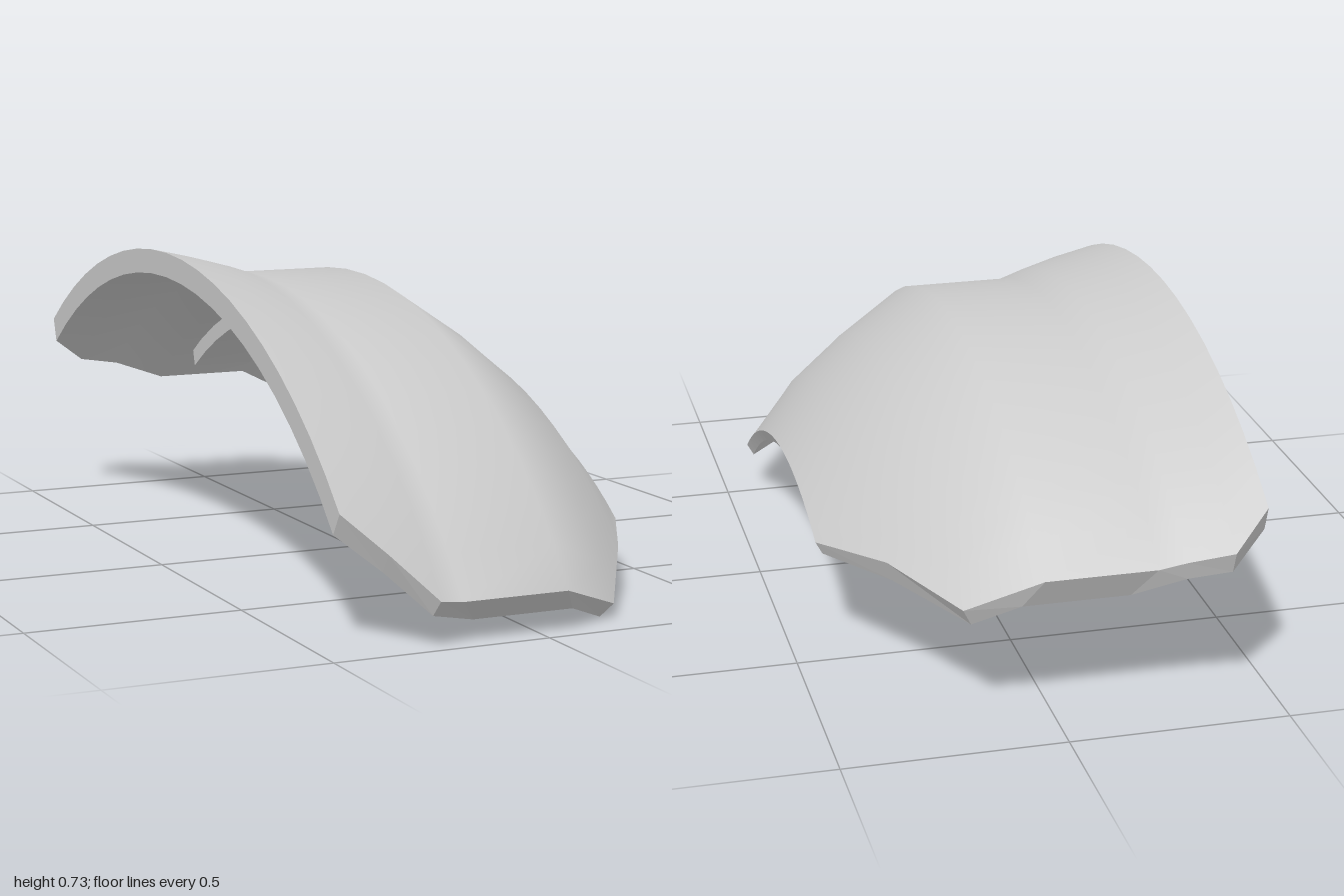
import * as THREE from 'three';
import { mergeGeometries } from 'three/addons/utils/BufferGeometryUtils.js';

// The plate is swept around an axis parallel to x.
const AXIS_Y = -0.7, AXIS_Z = -0.12, STEPS = 20;
const onArc = (x, r, a) => new THREE.Vector3(x, AXIS_Y + r * Math.cos(a), AXIS_Z + r * Math.sin(a));

// Skin over rows of points; flat gives hard facets.
function patch(rows, flat = false) {
  const n = rows[0].length, index = [];
  for (let i = 0; i < rows.length - 1; i++) {
    for (let j = 0; j < n - 1; j++) {
      const a = i * n + j, b = a + n;
      index.push(a, a + 1, b, a + 1, b + 1, b);
    }
  }
  let geometry = new THREE.BufferGeometry().setFromPoints(rows.flat());
  geometry.setIndex(index);
  if (!flat) geometry.computeVertexNormals();
  geometry = geometry.toNonIndexed();
  if (flat) geometry.computeVertexNormals();
  return geometry;
}

// Columns: [outer x, outer radius, inner x, inner radius, front angle, back angle]
function curvedShell(columns) {
  const sweep = (x, r, front, back) => Array.from({ length: STEPS + 1 },
    (_, j) => onArc(x, r, -back + (front + back) * j / STEPS));
  const outer = columns.map(([x, r, , , f, b]) => sweep(x, r, f, b));
  const inner = columns.map(([, , x, r, f, b]) => sweep(x, r, f + 0.01, b + 0.012));
  const edge = (rows, j) => rows.map(row => row[j]);
  const last = columns.length - 1;
  return mergeGeometries([
    patch(outer),
    patch([...inner].reverse()),
    patch([edge(inner, STEPS), edge(outer, STEPS)], true), // front rim
    patch([edge(outer, 0), edge(inner, 0)], true),         // back rim
    patch([inner[0], outer[0]], true),                     // right rim
    patch([outer[last], inner[last]], true),               // left rim
  ]);
}

export function createModel() {
  const group = new THREE.Group();
  const material = new THREE.MeshStandardMaterial({ color: 0xcccccc });
  const add = (name, columns) => {
    const mesh = new THREE.Mesh(curvedShell(columns), material);
    mesh.name = name;
    group.add(mesh);
  };

  // Arched plate with a flared right lip, flat crown, sloped left side and clipped corners
  add('archedPlate', [
    [-0.45, 1.433, -0.45, 1.375, 0.81, 0.611],
    [-0.36, 1.413, -0.36, 1.363, 0.877, 0.675],
    [-0.26, 1.385, -0.265, 1.342, 0.951, 0.672],
    [-0.2, 1.365, -0.15, 1.29, 0.95, 0.672],
    [0.05, 1.365, 0.09, 1.29, 0.95, 0.672],
    [0.21, 1.26, 0.19, 1.22, 0.951, 0.67],
    [0.33, 1.165, 0.315, 1.115, 0.8, 0.51],
    [0.445, 1.035, 0.43, 1.01, 0.647, 0.337],
  ]);

  // Raised rib along the underside of the crown
  add('undersideRib', [
    [-0.1, 1.3, -0.1, 1.25, 0.85, 0.57],
    [0.06, 1.3, 0.06, 1.25, 0.85, 0.57],
  ]);
  return group;
}
